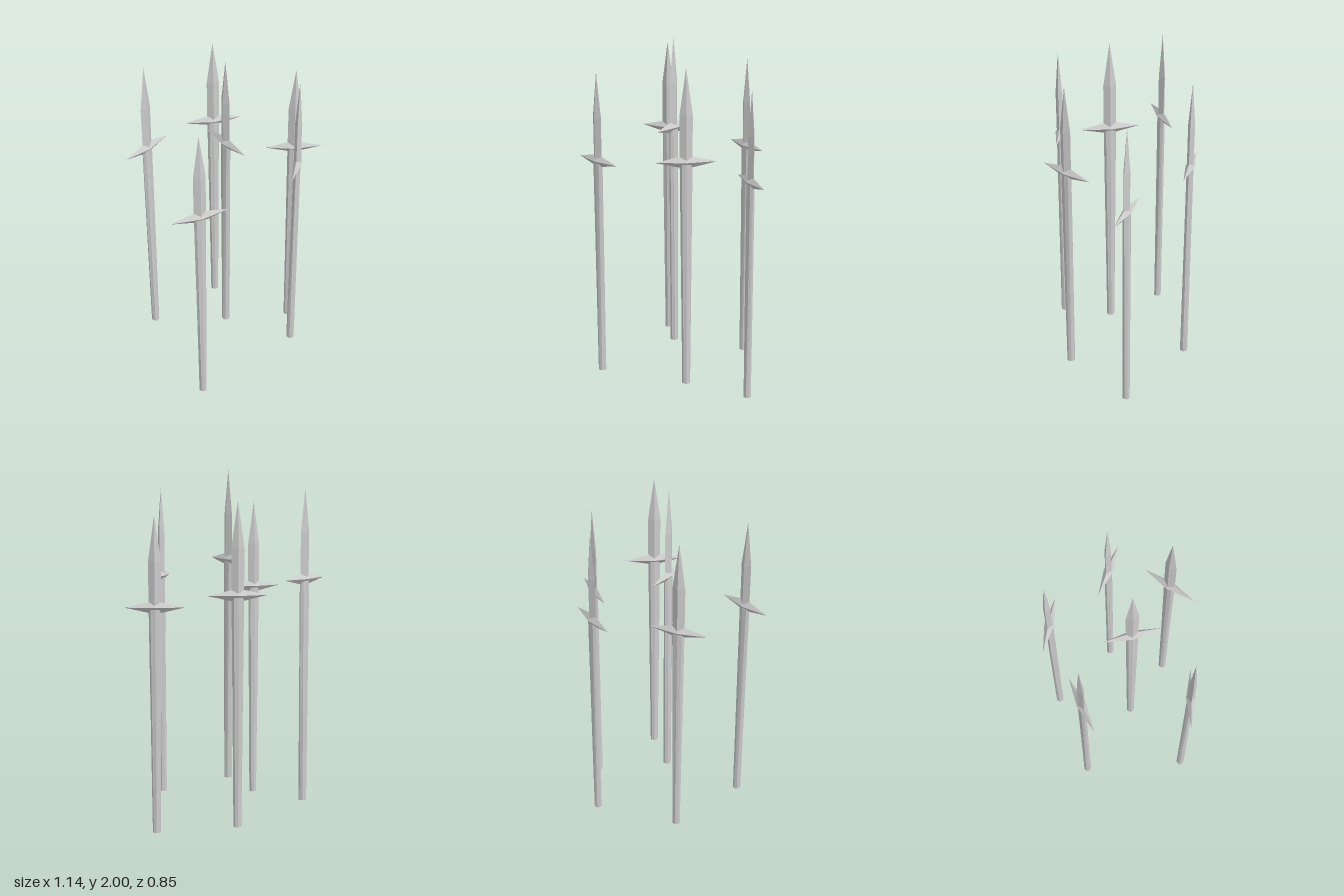
import * as THREE from 'three';

const material = new THREE.MeshStandardMaterial({ color: 0xcccccc, flatShading: true });

function part(name, geometry, y) {
  const mesh = new THREE.Mesh(geometry, material);
  mesh.name = name;
  mesh.position.y = y;
  return mesh;
}

// Octagonal shaft: round at the foot, flattening into the blade's width at the guard
function shaftGeometry(height) {
  const geometry = new THREE.CylinderGeometry(1, 1, height, 8);
  const p = geometry.attributes.position;
  for (let i = 0; i < p.count; i++) {
    const t = p.getY(i) / height + 0.5;
    p.setX(i, p.getX(i) * THREE.MathUtils.lerp(0.022, 0.034, t));
    p.setZ(i, p.getZ(i) * THREE.MathUtils.lerp(0.022, 0.019, t));
  }
  geometry.computeVertexNormals();
  return geometry;
}

const GUARD_Y = 1.26, SHOULDER_Y = 1.51, TIP_Y = 1.76;
const shaft = shaftGeometry(GUARD_Y);
const guard = new THREE.OctahedronGeometry(1).scale(0.163, 0.037, 0.026);
// Blade and point have a flat diamond section
const blade = new THREE.CylinderGeometry(0.035, 0.034, SHOULDER_Y - GUARD_Y, 4, 1, true).scale(1, 1, 0.54);
const point = new THREE.ConeGeometry(0.035, TIP_Y - SHOULDER_Y, 4, 1, true).scale(1, 1, 0.54);

function createSpear() {
  const spear = new THREE.Group();
  spear.add(
    part('shaft', shaft, GUARD_Y / 2),
    part('guard', guard, GUARD_Y),
    part('blade', blade, (GUARD_Y + SHOULDER_Y) / 2),
    part('point', point, (SHOULDER_Y + TIP_Y) / 2)
  );
  return spear;
}

export function createModel() {
  const model = new THREE.Group();
  model.name = 'spears';
  // Foot position x, y, z, then the guard's direction in x and z
  const spears = [
    [-0.06, 0.24, 0.04, 0, 1],
    [-0.332, 0.14, -0.304, 0.325, -0.058],
    [0.168, 0.085, -0.36, 0.295, 0.14],
    [0.433, 0, 0.037, 0.265, 0.183],
    [0.206, 0.14, 0.32, 0.25, -0.21],
    [-0.413, 0.047, 0.27, 0.315, 0.084],
  ];
  spears.forEach(([x, y, z, dx, dz], i) => {
    const spear = createSpear();
    spear.name = `spear${i + 1}`;
    spear.position.set(x, y, z);
    spear.rotation.y = Math.atan2(-dz, dx);
    model.add(spear);
  });
  return model;
}
